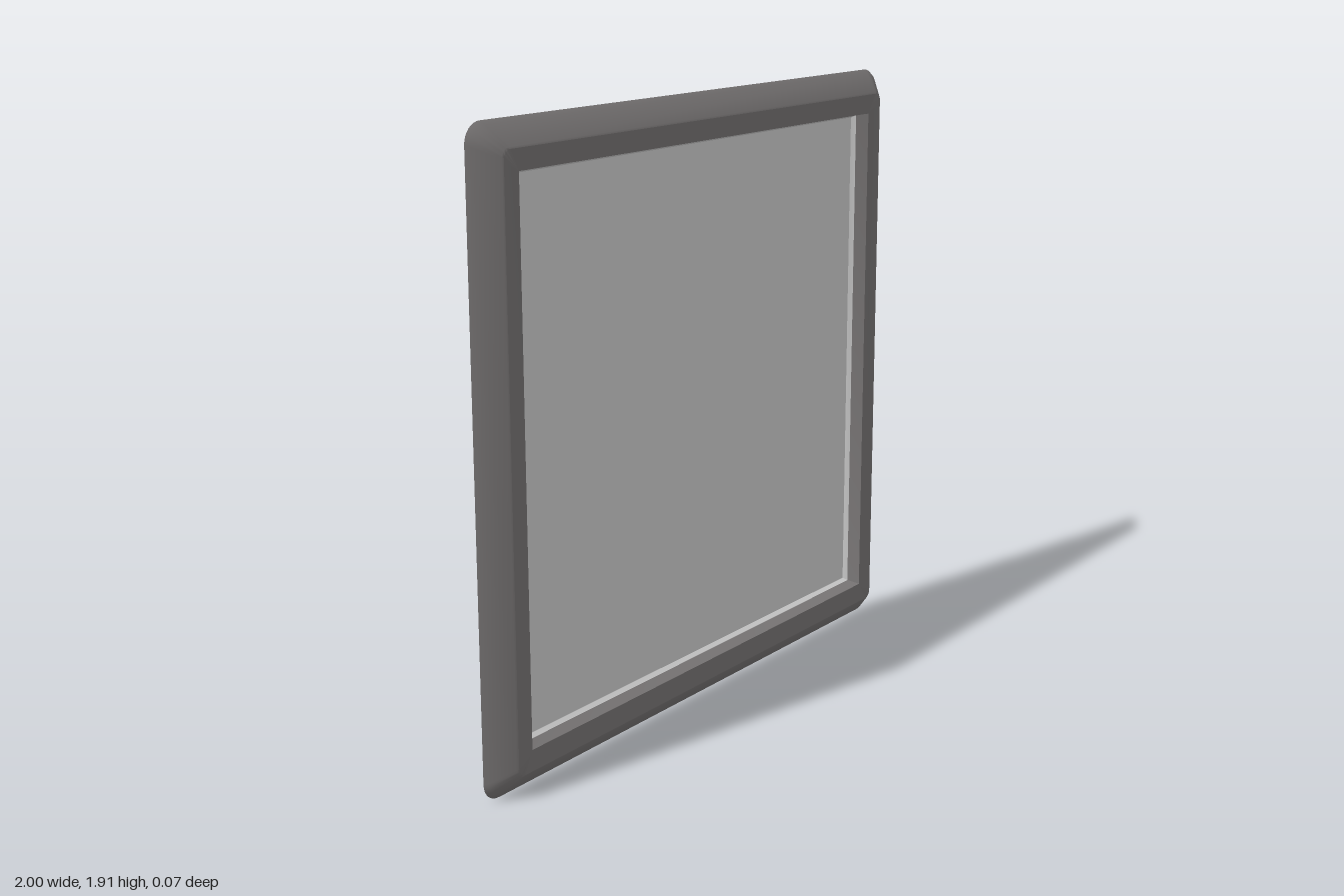
import * as THREE from 'three';
import { toCreasedNormals } from 'three/addons/utils/BufferGeometryUtils.js';

const W = 2, H = 1.91, CORNER_STEPS = 8;

// Rounded rectangle, inset from the outer size, counter-clockwise from the front
function ring(inset, z, radius) {
  const points = [];
  const cx = W / 2 - inset - radius, cy = H / 2 - inset - radius;
  const corners = [[1, 1], [-1, 1], [-1, -1], [1, -1]];
  corners.forEach(([sx, sy], q) => {
    for (let i = 0; i <= CORNER_STEPS; i++) {
      const a = (q + i / CORNER_STEPS) * Math.PI / 2;
      points.push([sx * cx + radius * Math.cos(a), H / 2 + sy * cy + radius * Math.sin(a), z]);
    }
  });
  return points;
}

// Sweeps a closed [inset, z, cornerRadius] profile around the rectangle
function moulding(profile) {
  const rings = profile.map((p) => ring(...p));
  const n = rings[0].length, pos = [];
  rings.forEach((a, k) => {
    const b = rings[(k + 1) % rings.length];
    for (let j = 0; j < n; j++) {
      const m = (j + 1) % n;
      pos.push(...a[j], ...a[m], ...b[m], ...a[j], ...b[m], ...b[j]);
    }
  });
  const geometry = new THREE.BufferGeometry();
  geometry.setAttribute('position', new THREE.Float32BufferAttribute(pos, 3));
  return toCreasedNormals(geometry, 0.4);
}

export function createModel() {
  const group = new THREE.Group();
  const frameMaterial = new THREE.MeshStandardMaterial({ color: 0x757272 });
  const paneMaterial = new THREE.MeshStandardMaterial({ color: 0xcccccc });
  const add = (name, geometry, material) => {
    const mesh = new THREE.Mesh(geometry, material);
    mesh.name = name;
    group.add(mesh);
    return mesh;
  };

  // Frame: thin back lip, sloping outer bevel, flat face, steep inner wall
  add('frame', moulding([
    [0, -0.035, 0.06],
    [0.01, -0.02, 0.055],
    [0.068, 0.033, 0.03],
    [0.073, 0.035, 0.028],
    [0.135, 0.031, 0.001],
    [0.145, -0.035, 0.001],
  ]), frameMaterial);

  // Sloping bead around the edge of the pane
  add('paneBead', moulding([
    [0.143, -0.03, 0.001],
    [0.14, -0.01, 0.001],
    [0.151, -0.028, 0.001],
  ]), paneMaterial);

  // Flat pane, flush with the back of the frame
  const pane = add('pane', new THREE.BoxGeometry(W - 0.29, H - 0.29, 0.008), paneMaterial);
  pane.position.set(0, H / 2, -0.031);

  return group;
}
